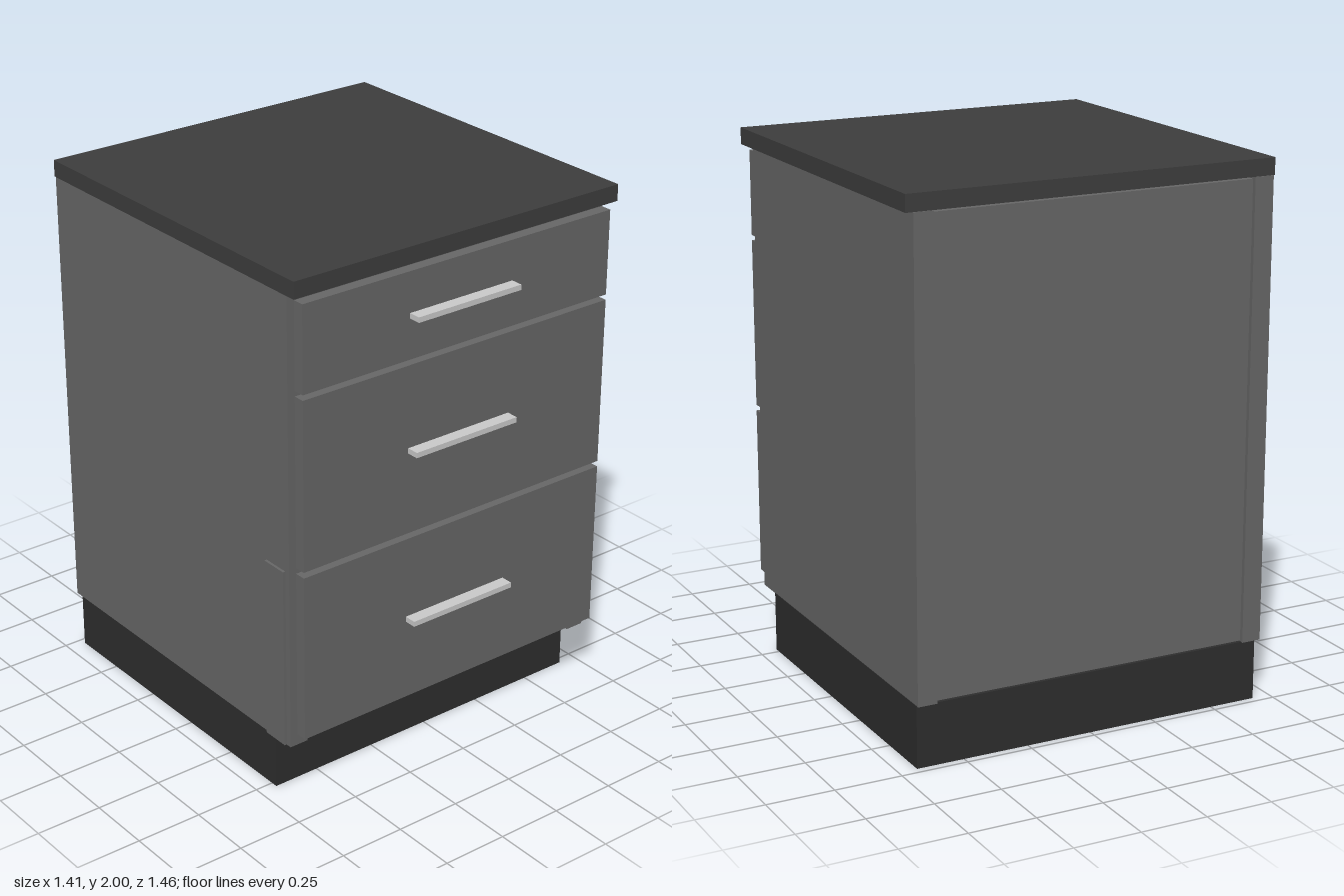
import * as THREE from 'three';

export function createModel() {
  const group = new THREE.Group();
  const mat = (color) => new THREE.MeshStandardMaterial({ color });
  const body = mat(0x686868), dark = mat(0x3e3e3e), base = mat(0x2e2e2e), metal = mat(0xcccccc);

  // Box given by its lower and upper limits on each axis
  const block = (name, material, [x0, x1], [y0, y1], [z0, z1]) => {
    const mesh = new THREE.Mesh(new THREE.BoxGeometry(x1 - x0, y1 - y0, z1 - z0), material);
    mesh.position.set((x0 + x1) / 2, (y0 + y1) / 2, (z0 + z1) / 2);
    mesh.name = name;
    group.add(mesh);
  };

  // Recessed plinth and overhanging worktop
  block('plinth', base, [-0.68, 0.68], [0, 0.23], [-0.722, 0.525]);
  block('worktop', dark, [-0.705, 0.705], [1.938, 2], [-0.725, 0.683]);

  // Carcass: two side panels around a slightly recessed core
  block('rightSidePanel', body, [-0.698, -0.624], [0.228, 1.938], [-0.729, 0.636]);
  block('leftSidePanel', body, [0.604, 0.678], [0.228, 1.938], [-0.729, 0.636]);
  block('carcassCore', body, [-0.624, 0.604], [0.232, 1.93], [-0.713, 0.63]);

  // Narrow cover strip on the right side panel
  block('sideStrip', body, [-0.708, -0.698], [0.23, 0.92], [0.51, 0.615]);

  // Drawer fronts, each with a slim bar handle: [bottom, top, handle height]
  const drawers = [[0.275, 0.914, 0.595], [0.936, 1.574, 1.255], [1.594, 1.914, 1.754]];
  for (const [y0, y1, h] of drawers) {
    block('drawerFront', body, [-0.672, 0.672], [y0, y1], [0.641, 0.684]);
    block('handle', metal, [-0.225, 0.225], [h - 0.01, h + 0.01], [0.684, 0.73]);
  }
  return group;
}
